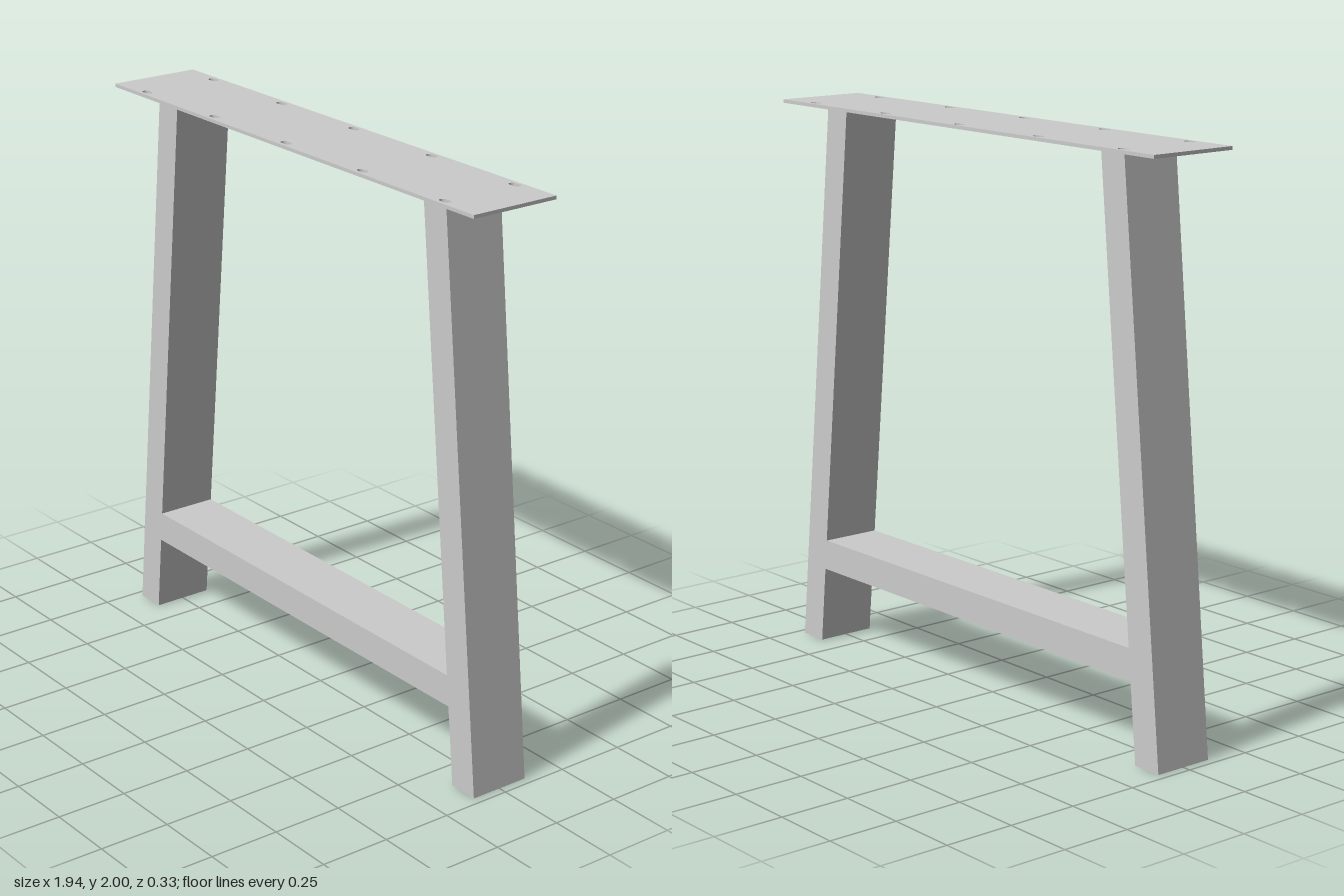
import * as THREE from 'three';

const DEPTH = 0.22;      // legs and crossbar, front to back
const PLATE = 0.012;     // plate thickness
const LEG_TOP = 2 - PLATE;

const material = new THREE.MeshStandardMaterial({ color: 0xcccccc });

// Front outline extruded evenly about z = 0
function profile(name, points, depth) {
  const shape = new THREE.Shape(points.map(([x, y]) => new THREE.Vector2(x, y)));
  const geometry = new THREE.ExtrudeGeometry(shape, { depth, bevelEnabled: false });
  geometry.translate(0, 0, -depth / 2);
  const mesh = new THREE.Mesh(geometry, material);
  mesh.name = name;
  return mesh;
}

// Rounded slot for a screw, long in x
function slot(x, y) {
  const r = 0.0125, half = 0.01;
  const path = new THREE.Path();
  path.absarc(x + half, y, r, -Math.PI / 2, Math.PI / 2, false);
  path.absarc(x - half, y, r, Math.PI / 2, Math.PI * 1.5, false);
  path.closePath();
  return path;
}

export function createModel() {
  const model = new THREE.Group();
  model.name = 'tableLegFrame';

  // Slanted legs, cut level at the floor and under the plate
  for (const [name, s] of [['leftLeg', 1], ['rightLeg', -1]]) {
    model.add(profile(name, [
      [s * 0.86, 0], [s * 0.97, 0], [s * 0.775, LEG_TOP], [s * 0.667, LEG_TOP],
    ], DEPTH));
  }

  // Crossbar, ends mitred to the inner faces of the legs
  const inner = (y) => 0.86 - (0.193 * y) / LEG_TOP;
  const low = 0.28, high = 0.39;
  model.add(profile('crossbar', [
    [-inner(low), low], [inner(low), low], [inner(high), high], [-inner(high), high],
  ], DEPTH));

  // Mounting plate with two rows of screw slots
  const w = 0.97, d = 0.165;
  const outline = new THREE.Shape([
    new THREE.Vector2(-w, -d), new THREE.Vector2(w, -d),
    new THREE.Vector2(w, d), new THREE.Vector2(-w, d),
  ]);
  for (let i = -2; i <= 2; i++) {
    for (const side of [-1, 1]) outline.holes.push(slot(i * 0.403, side * 0.14));
  }
  const plateGeometry = new THREE.ExtrudeGeometry(outline, {
    depth: PLATE, bevelEnabled: false, curveSegments: 10,
  });
  plateGeometry.rotateX(-Math.PI / 2);
  const plate = new THREE.Mesh(plateGeometry, material);
  plate.name = 'mountingPlate';
  plate.position.y = LEG_TOP;
  model.add(plate);

  return model;
}
